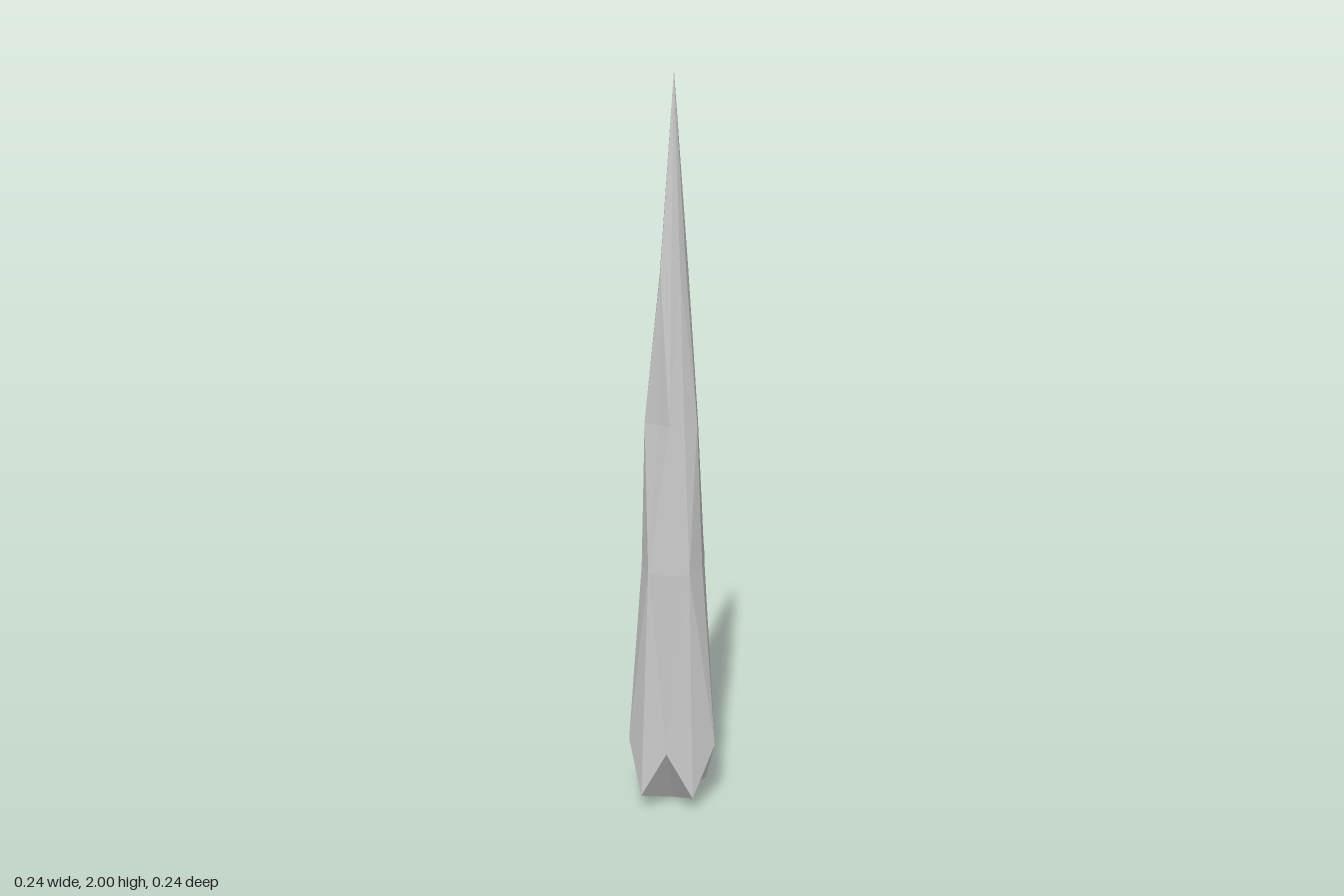
import * as THREE from 'three';

// Ridges around the spike: angle in degrees (0 = +x, 90 = +z),
// height of the lowest point, then radii at that point and at each level.
const RIDGES = [
  [17, 0.19, 0.126, 0.085, 0.068, 0.035],
  [54, 0.05, 0.115, 0.092, 0.060, 0.035],
  [91, 0.19, 0.117, 0.100, 0.065, 0.040],
  [127, 0.05, 0.125, 0.095, 0.056, 0.048],
  [163, 0.19, 0.126, 0.088, 0.078, 0.036],
  [196, 0.05, 0.111, 0.085, 0.065, 0.035],
  [237, 0.10, 0.113, 0.108, 0.066, 0.042],
  [266, 0.19, 0.120, 0.096, 0.062, 0.045],
  [312, 0.14, 0.092, 0.108, 0.070, 0.042],
  [338, 0.05, 0.092, 0.085, 0.065, 0.038],
];
const LEVELS = [0.7, 1.1, 1.5];

export function createModel() {
  const n = RIDGES.length;
  const rings = LEVELS.length + 1;
  const positions = [];
  const index = [];

  // Faceted rings, the lowest one zigzagging in height
  for (let k = 0; k < rings; k++) {
    for (const [deg, base, ...radii] of RIDGES) {
      const a = THREE.MathUtils.degToRad(deg);
      positions.push(radii[k] * Math.cos(a), k ? LEVELS[k - 1] : base, radii[k] * Math.sin(a));
    }
  }
  const bottom = n * rings;
  const tip = bottom + 1;
  positions.push(0, 0, 0, 0, 2, 0);

  // Side facets, pointed underside and tip
  for (let i = 0; i < n; i++) {
    const j = (i + 1) % n;
    for (let k = 0; k < rings - 1; k++) {
      const a = k * n + i, b = k * n + j, c = a + n, d = b + n;
      if ((i + k) % 2) index.push(a, c, b, b, c, d);
      else index.push(a, c, d, a, d, b);
    }
    const top = (rings - 1) * n;
    index.push(top + i, tip, top + j);
    index.push(bottom, i, j);
  }

  const geometry = new THREE.BufferGeometry();
  geometry.setAttribute('position', new THREE.Float32BufferAttribute(positions, 3));
  geometry.setIndex(index);
  const flat = geometry.toNonIndexed();
  flat.computeVertexNormals();

  const spike = new THREE.Mesh(flat, new THREE.MeshStandardMaterial({ color: 0xcccccc, flatShading: true }));
  spike.name = 'rockSpike';
  const group = new THREE.Group();
  group.name = 'spike';
  group.add(spike);
  return group;
}
